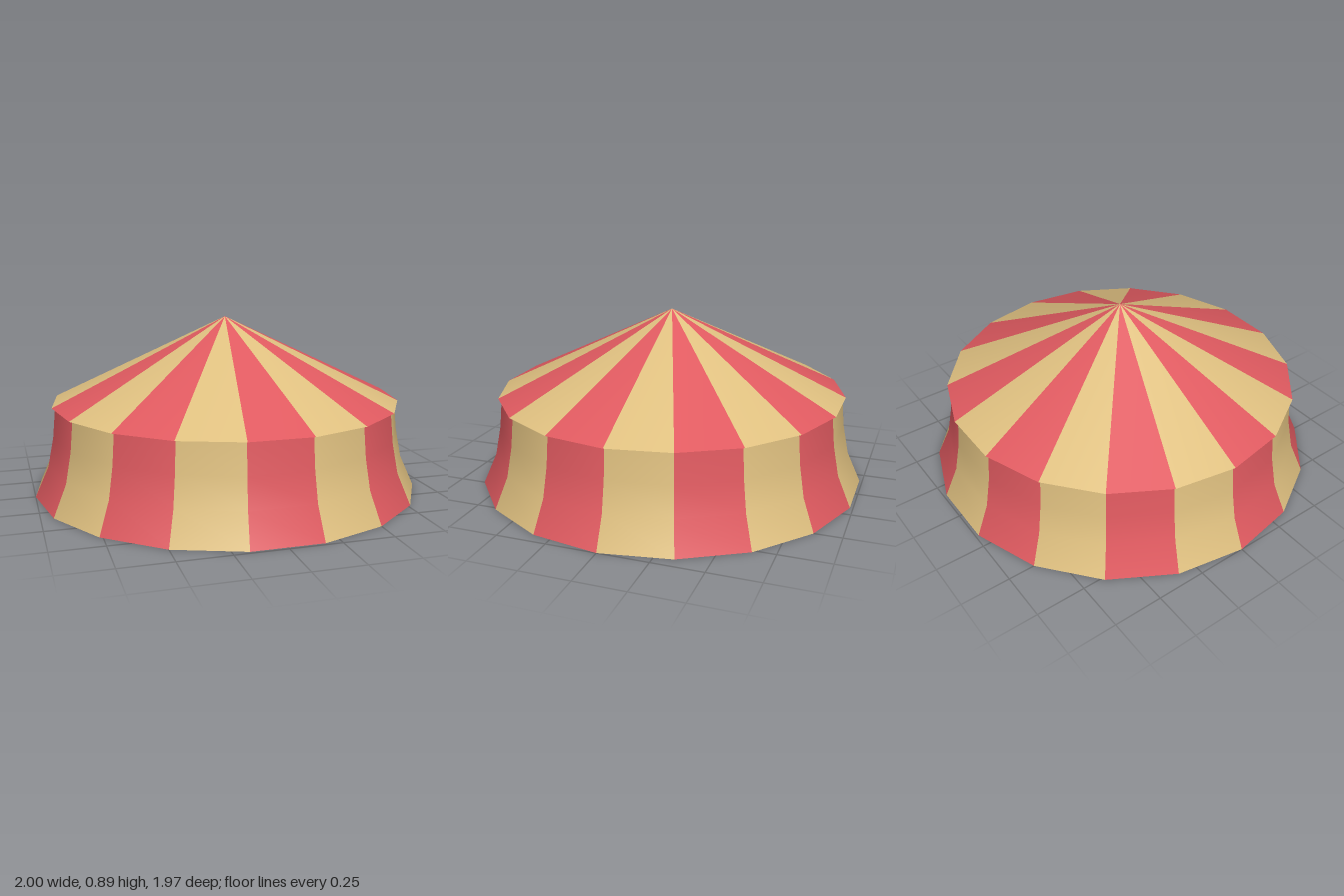
import * as THREE from 'three';
import { mergeGeometries } from 'three/addons/utils/BufferGeometryUtils.js';

const PANELS = 18;
const STEP = (Math.PI * 2) / PANELS;

// Profiles as radius, height
const wallProfile = [[1, 0], [0.93, 0.155], [0.9, 0.305], [0.885, 0.455]];
const roofProfile = [[0.902, 0.455], [0, 0.888]];

// Every second panel of a ring, merged; one flat-width segment per panel
function stripes(profile, first) {
  const points = profile.map(([r, y]) => new THREE.Vector2(r, y));
  const panels = [];
  for (let i = first; i < PANELS; i += 2) {
    panels.push(new THREE.LatheGeometry(points, 1, (i - 0.5) * STEP, STEP));
  }
  return mergeGeometries(panels);
}

export function createModel() {
  const tent = new THREE.Group();
  tent.name = 'stripedTent';

  const cloth = (color) => new THREE.MeshStandardMaterial({ color, side: THREE.DoubleSide });
  const colours = [['Red', cloth(0xe05a60)], ['Tan', cloth(0xdfc080)]];

  // Flared side wall and conical roof with a slight eave
  for (const [part, profile] of [['wall', wallProfile], ['roof', roofProfile]]) {
    const group = new THREE.Group();
    group.name = part;
    colours.forEach(([label, material], first) => {
      const mesh = new THREE.Mesh(stripes(profile, first), material);
      mesh.name = `${part}${label}Stripes`;
      group.add(mesh);
    });
    tent.add(group);
  }
  return tent;
}
